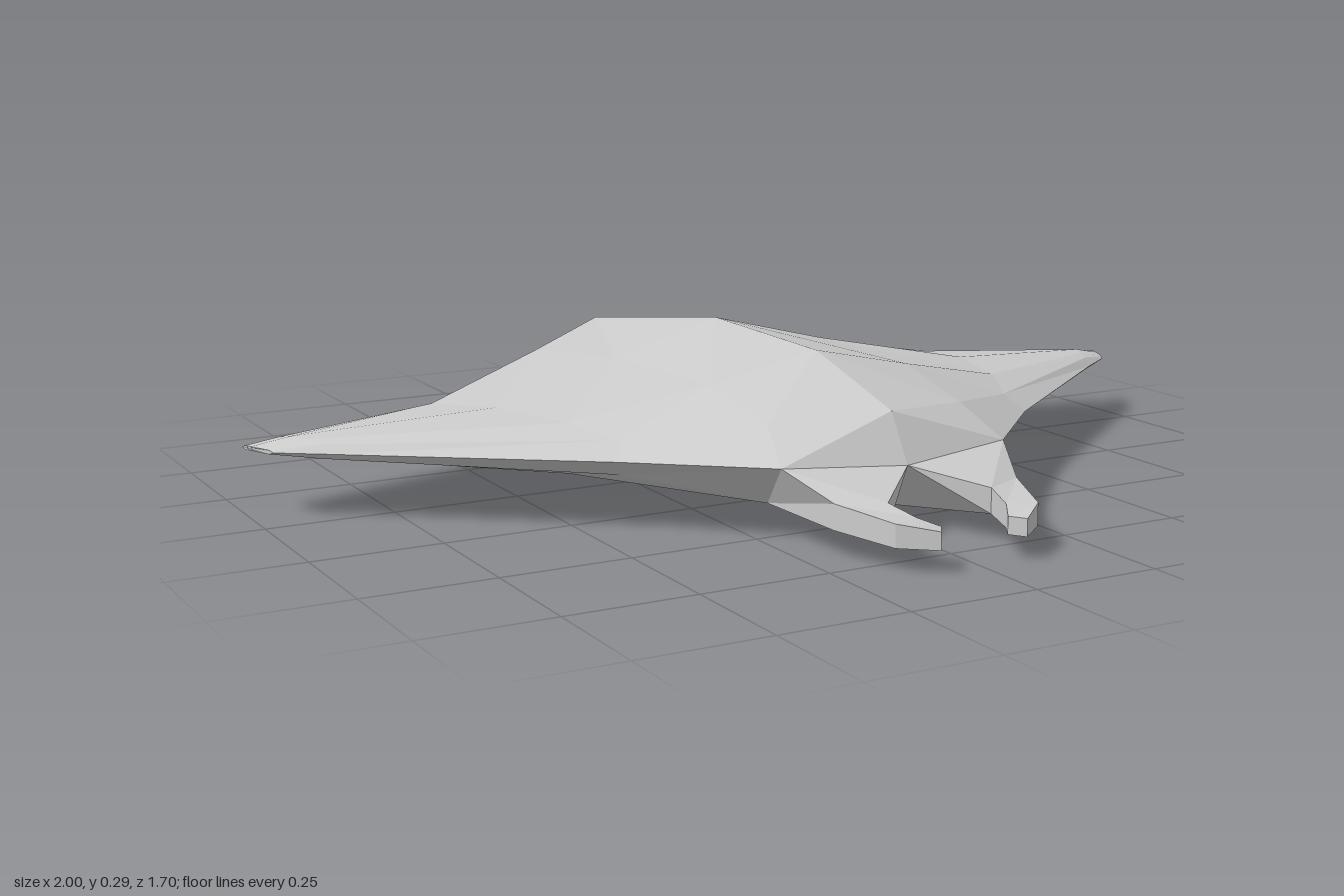
import * as THREE from 'three';

const material = new THREE.MeshStandardMaterial({ color: 0xcccccc, flatShading: true });

// Skins a row of closed cross-sections, caps the last one, and mirrors for the other side.
function loft(name, rings, mirror, skip = () => false) {
  const pos = [];
  const tri = (a, b, c) => {
    if (a === b || b === c || a === c) return;
    for (const p of mirror < 0 ? [a, c, b] : [a, b, c]) pos.push(p[0] * mirror, p[1], p[2]);
  };
  for (let i = 0; i < rings.length - 1; i++) {
    const r = rings[i], s = rings[i + 1], n = r.length;
    for (let j = 0; j < n; j++) {
      if (skip(i, j)) continue;
      const k = (j + 1) % n;
      tri(r[j], r[k], s[k]);
      tri(r[j], s[k], s[j]);
    }
  }
  const end = rings[rings.length - 1];
  for (let j = 1; j < end.length - 1; j++) tri(end[0], end[j], end[j + 1]);
  const geo = new THREE.BufferGeometry();
  geo.setAttribute('position', new THREE.Float32BufferAttribute(pos, 3));
  geo.computeVertexNormals();
  const mesh = new THREE.Mesh(geo, material);
  mesh.name = name;
  return mesh;
}

// Wing section: trailing edge, upper surface, leading edge, then back along the underside.
// Inner points are [x, top y, z, bottom y].
function wingRing([trail, ...rest]) {
  const lead = rest.pop();
  return [trail, ...rest.map(([x, y, z]) => [x, y, z]), lead,
    ...rest.reverse().map(([x, , z, low]) => [x, low, z])];
}

// Horn section: outer top, inner top, inner bottom, outer bottom.
const hornRing = (outer, inner, top, low) => [
  [outer[0], top, outer[1]], [inner[0], top, inner[1]],
  [inner[0], low, inner[1]], [outer[0], low, outer[1]]];

export function createModel() {
  const group = new THREE.Group();
  group.name = 'mantaRay';

  // Sections from the spine out to the wing tip
  const wing = [
    [[0, 0.13, -0.85], [0, 0.21, -0.69, 0.08], [0, 0.295, -0.11, 0.01],
      [0, 0.29, 0.29, 0], [0, 0.22, 0.555, 0], [0, 0.13, 0.61]],
    [[0.26, 0.135, -0.56], [0.25, 0.19, -0.47, 0.085], [0.24, 0.235, -0.09, 0.04],
      [0.22, 0.24, 0.27, 0.033], [0.21, 0.2, 0.47, 0.055], [0.24, 0.143, 0.57]],
    [[0.62, 0.13, -0.26], [0.59, 0.155, -0.21, 0.11], [0.54, 0.18, 0, 0.088],
      [0.48, 0.182, 0.2, 0.085], [0.43, 0.165, 0.31, 0.1], [0.45, 0.135, 0.355]],
    [[0.93, 0.13, -0.148], [0.93, 0.142, -0.12, 0.122], [0.92, 0.15, -0.08, 0.118],
      [0.9, 0.15, -0.04, 0.117], [0.89, 0.145, -0.01, 0.118], [0.88, 0.13, 0.015]],
    [[1, 0.13, -0.125], [0.997, 0.134, -0.115, 0.126], [0.99, 0.134, -0.1, 0.126],
      [0.98, 0.134, -0.075, 0.126], [0.97, 0.134, -0.055, 0.126], [0.965, 0.13, -0.045]],
  ].map(wingRing);
  wing[0][6] = wing[0][7]; // the belly ends where the mouth opens

  // Head horns grow from the gap in the front edge; their inner walls form the mouth
  const horn = [
    [wing[1][5], wing[0][5], wing[0][7], wing[1][6]],
    hornRing([0.195, 0.675], [0.11, 0.715], 0.098, 0.05),
    hornRing([0.15, 0.8], [0.095, 0.78], 0.085, 0.042),
    hornRing([0.09, 0.85], [0.07, 0.82], 0.075, 0.042),
  ];

  for (const [side, mirror] of [['left', 1], ['right', -1]]) {
    group.add(loft(side + 'Wing', wing, mirror, (i, j) => i === 0 && j === 5));
    group.add(loft(side + 'Horn', horn, mirror));
  }
  return group;
}
